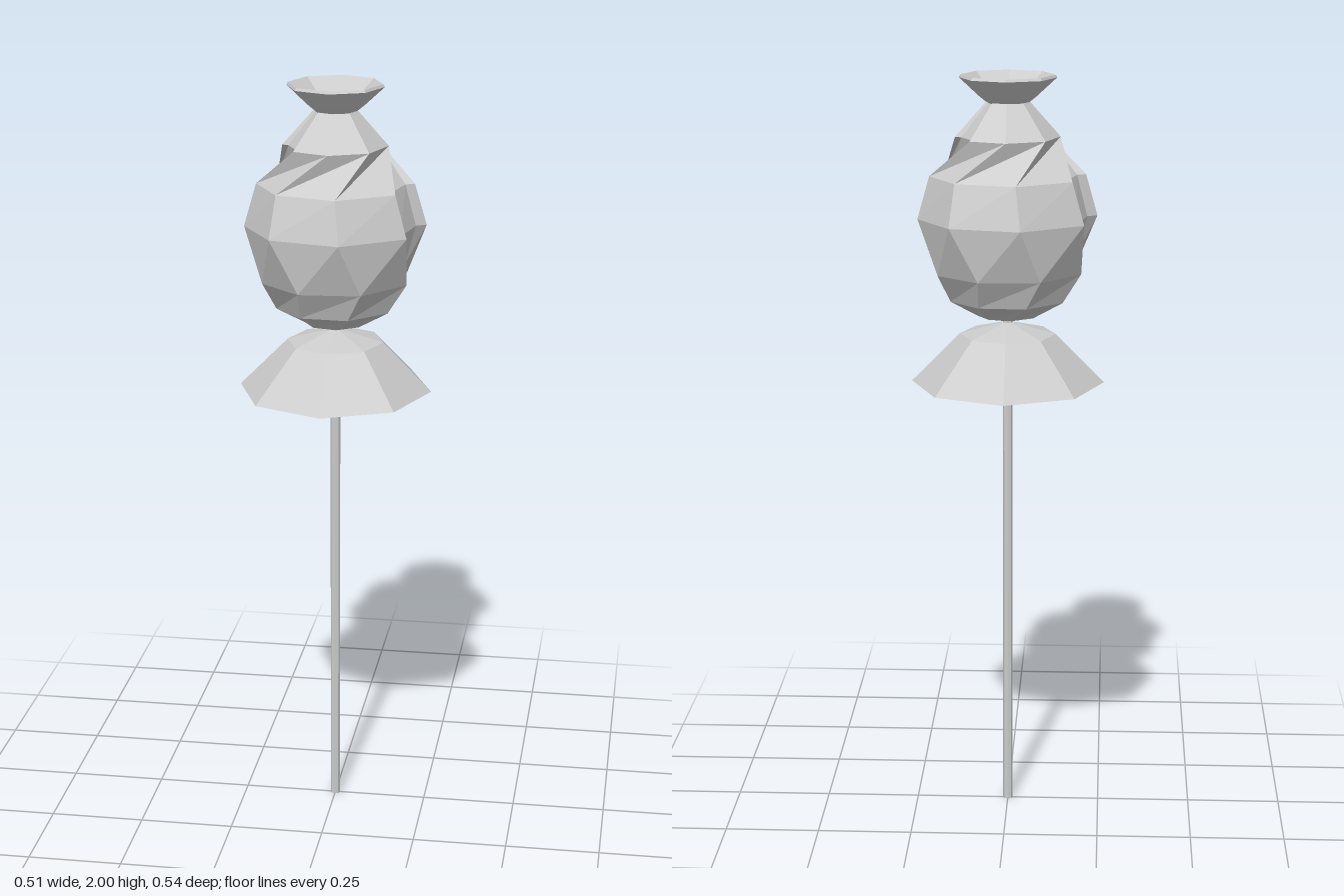
import * as THREE from 'three';

const material = new THREE.MeshStandardMaterial({
  color: 0xcccccc, flatShading: true, side: THREE.DoubleSide,
});

function part(name, geometry) {
  const mesh = new THREE.Mesh(geometry, material);
  mesh.name = name;
  return mesh;
}

// Eight-sided turned part from [radius, height] points
function turned(name, profile) {
  const points = profile.map(([r, y]) => new THREE.Vector2(r, y));
  return part(name, new THREE.LatheGeometry(points, 8).toNonIndexed());
}

// Twisted wrapper: rings of [height, radius, twist in degrees]
function wrapperGeometry() {
  const rings = [
    [1.355, 0.01, 0], [1.37, 0.08, 0], [1.415, 0.157, -10], [1.49, 0.2, -17],
    [1.63, 0.237, 0], [1.74, 0.205, 2], [1.84, 0.137, -37], [1.935, 0.053, -37],
  ];
  // One half: three raised facets, then a sunken fold between two steps
  const half = [[-148, 1], [-100, 1], [-53, 1], [-10, 1], [-7, 0.88], [29, 0.88]];
  const columns = [...half, ...half.map(([a, s]) => [a + 180, s])];
  const n = columns.length;
  const positions = [];
  const indices = [];
  for (const [y, r, twist] of rings) {
    for (const [angle, scale] of columns) {
      const a = THREE.MathUtils.degToRad(angle + twist);
      positions.push(Math.cos(a) * r * scale, y, Math.sin(a) * r * scale);
    }
  }
  for (let i = 0; i < rings.length - 1; i++) {
    for (let j = 0; j < n; j++) {
      const k = (j + 1) % n;
      const a = i * n + j, b = i * n + k;
      indices.push(a, a + n, b, b, a + n, b + n);
    }
  }
  const geometry = new THREE.BufferGeometry();
  geometry.setAttribute('position', new THREE.Float32BufferAttribute(positions, 3));
  geometry.setIndex(indices);
  const flat = geometry.toNonIndexed();
  flat.computeVertexNormals();
  return flat;
}

export function createModel() {
  const model = new THREE.Group();
  model.name = 'wrappedSweetOnStick';

  // Thin stick running up into the wrapper
  const stick = part('stick', new THREE.CylinderGeometry(0.013, 0.013, 1.36, 8));
  stick.position.y = 0.68;
  model.add(stick);

  // Hollow paper skirt under the sweet
  const skirt = turned('skirt', [[0.255, 1.19], [0.127, 1.32], [0.01, 1.352]]);
  skirt.scale.z = 1.065;
  model.add(skirt);

  model.add(part('wrapper', wrapperGeometry()));

  // Open gathered end with a thin lip and a funnel inside
  model.add(turned('gatheredTop', [
    [0.05, 1.925], [0.075, 1.945], [0.127, 1.993], [0.123, 2],
    [0.05, 1.942], [0.012, 1.925], [0, 1.925],
  ]));

  return model;
}
